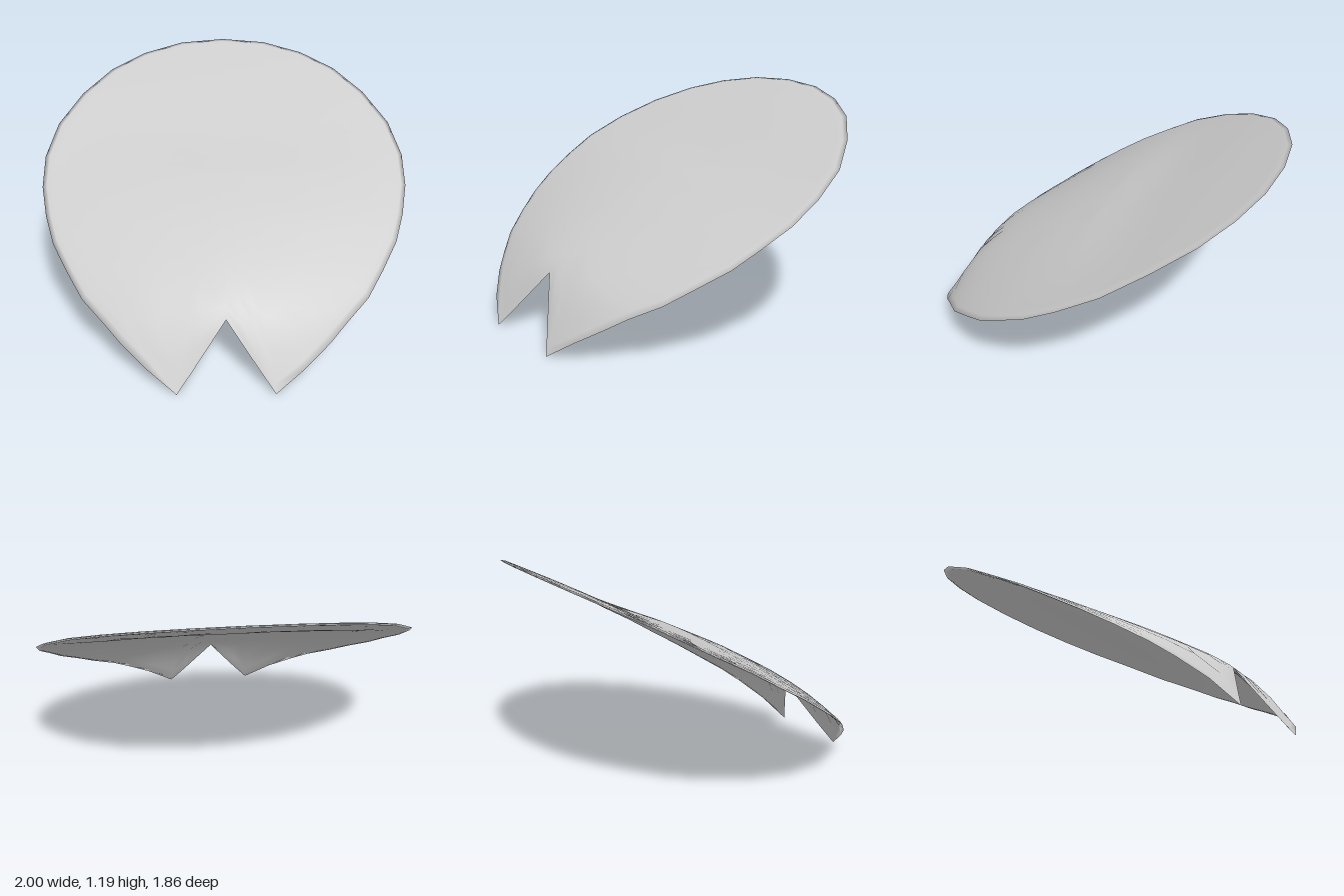
import * as THREE from 'three';

// Right half of the leaf outline [x, z], from the notch tip round to the back
const OUTLINE = [
  [0.25, 0.93], [0.40, 0.86], [0.53, 0.77], [0.62, 0.69], [0.74, 0.58], [0.83, 0.45],
  [0.915, 0.31], [0.965, 0.17], [1.0, 0.01], [1.0, -0.16], [0.945, -0.36], [0.82, -0.55],
  [0.66, -0.715], [0.47, -0.83], [0.25, -0.905], [0, -0.93],
];
const NOTCH = [[0, 0.75], [0.083, 0.81], [0.167, 0.87]];

// Heights [z, y] along the middle of the leaf and along its rim
const RIDGE = [[-0.93, 1.19], [-0.6, 1.035], [-0.25, 0.856], [0, 0.76], [0.25, 0.64],
  [0.5, 0.50], [0.68, 0.385], [0.75, 0.33], [0.93, 0]];
const RIM = [[-0.93, 1.19], [-0.83, 1.14], [-0.55, 0.998], [-0.36, 0.892], [-0.16, 0.785],
  [0.01, 0.683], [0.17, 0.593], [0.31, 0.505], [0.45, 0.42], [0.58, 0.335], [0.69, 0.26],
  [0.78, 0.185], [0.86, 0.105], [0.93, 0]];
const WIDTH = OUTLINE.map(([x, z]) => [z, x]).reverse();

// Linear interpolation in a table of [key, value]
function lookup(table, t) {
  if (t <= table[0][0]) return table[0][1];
  for (let i = 1; i < table.length; i++) {
    const [a, va] = table[i - 1], [b, vb] = table[i];
    if (t <= b) return va + (vb - va) * (t - a) / (b - a);
  }
  return table[table.length - 1][1];
}

// Arched across its width: ridge height in the middle, rim height at the edge
function heightAt(x, z) {
  const u = Math.min(1, Math.abs(x) / Math.max(lookup(WIDTH, z), 1e-4)) ** 2;
  return lookup(RIDGE, z) * (1 - u) + lookup(RIM, z) * u;
}

function leafGeometry() {
  const half = [...NOTCH, ...OUTLINE];
  const mirrored = half.slice(1, -1).reverse().map(([x, z]) => [-x, z]);
  const loop = [...half, ...mirrored];
  const n = loop.length;
  const rings = [0.14, 0.28, 0.42, 0.56, 0.68, 0.79, 0.88, 0.94, 0.975, 1];
  const halfThickness = 0.006;
  const positions = [], indices = [];

  // One skin of concentric rings; the last ring is the thin rim
  function addSkin(side) {
    const start = positions.length / 3;
    positions.push(0, heightAt(0, 0) + side * halfThickness, 0);
    for (const s of rings) {
      const t = s === 1 ? 0 : side * halfThickness;
      for (const [x, z] of loop) positions.push(x * s, heightAt(x * s, z * s) + t, z * s);
    }
    return start;
  }
  const top = addSkin(1), bottom = addSkin(-1);
  const last = rings.length - 1;
  const inNotch = (i) => i <= NOTCH.length || i > n - NOTCH.length - 1;

  function index(start, r, i) {
    i %= n;
    // The round rim is shared by both skins, the notch edges stay sharp
    const base = r === last && !inNotch(i) ? top : start;
    return base + 1 + r * n + i;
  }
  function tri(a, b, c, up) {
    if (up) indices.push(a, b, c);
    else indices.push(a, c, b);
  }
  for (const start of [top, bottom]) {
    const up = start === top;
    for (let i = 0; i < n; i++) {
      tri(start, index(start, 0, i), index(start, 0, i + 1), up);
      for (let r = 0; r < last; r++) {
        const a = index(start, r, i), b = index(start, r + 1, i);
        const c = index(start, r + 1, i + 1), d = index(start, r, i + 1);
        tri(a, b, c, up);
        tri(a, c, d, up);
      }
    }
  }
  const geometry = new THREE.BufferGeometry();
  geometry.setAttribute('position', new THREE.Float32BufferAttribute(positions, 3));
  geometry.setIndex(indices);
  geometry.computeVertexNormals();
  return geometry;
}

export function createModel() {
  const group = new THREE.Group();
  group.name = 'notchedLeaf';
  const material = new THREE.MeshStandardMaterial({ color: 0xcccccc, side: THREE.DoubleSide });
  const leaf = new THREE.Mesh(leafGeometry(), material);
  leaf.name = 'leafBlade';
  group.add(leaf);
  return group;
}
